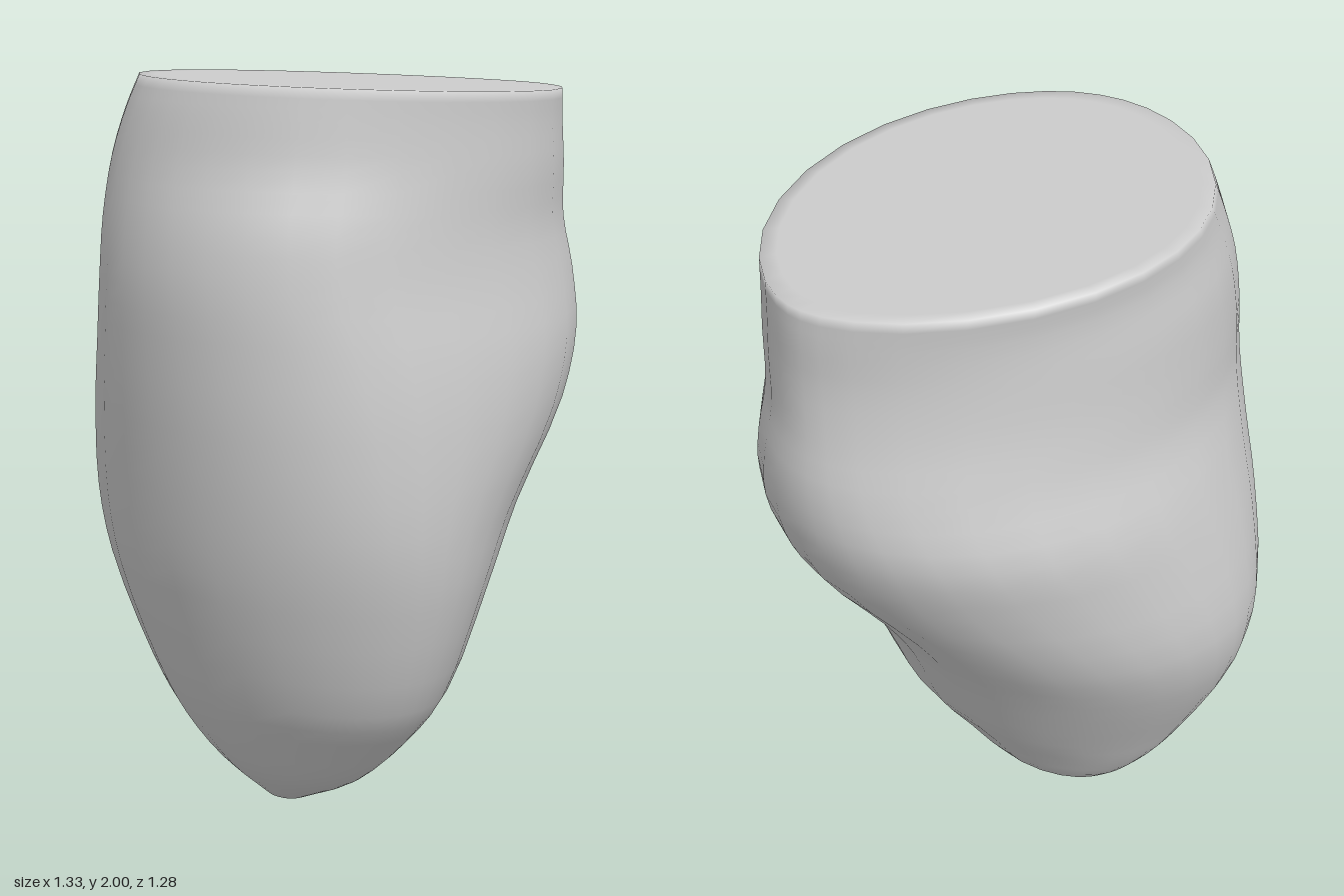
import * as THREE from 'three';

const SEG = 32;

// Each section: height, then its reach from the axis in eight directions,
// every 45 degrees from +x towards +z.
const SECTIONS = [
  [0.015, [-0.07, 0.025, 0.14, 0.205, 0.2, 0.115, 0, -0.075]],
  [0.12, [0.08, 0.22, 0.29, 0.31, 0.34, 0.3, 0.16, 0.03]],
  [0.25, [0.2, 0.355, 0.4, 0.39, 0.45, 0.415, 0.25, 0.11]],
  [0.4, [0.3, 0.47, 0.51, 0.46, 0.53, 0.505, 0.325, 0.21]],
  [0.7, [0.405, 0.57, 0.6, 0.56, 0.635, 0.645, 0.48, 0.36]],
  [0.9, [0.48, 0.6, 0.635, 0.6, 0.665, 0.68, 0.56, 0.49]],
  [1.15, [0.615, 0.61, 0.645, 0.635, 0.655, 0.64, 0.61, 0.66]],
  [1.33, [0.66, 0.595, 0.64, 0.655, 0.637, 0.59, 0.64, 0.725]],
  [1.5, [0.65, 0.56, 0.635, 0.665, 0.62, 0.54, 0.6, 0.735]],
  [1.65, [0.62, 0.54, 0.62, 0.655, 0.605, 0.53, 0.56, 0.715]],
  [1.8, [0.615, 0.535, 0.585, 0.63, 0.575, 0.52, 0.54, 0.7]],
  [1.92, [0.61, 0.525, 0.575, 0.605, 0.535, 0.5, 0.535, 0.7]],
  [2.0, [0.61, 0.52, 0.57, 0.58, 0.5, 0.5, 0.54, 0.695]],
];

// Smooth closed outline whose reach in the eight directions matches the list
function outline(y, reach) {
  const waves = [1, 1, 1, 0.6, 0.5].map((weight, k) => {
    let a = 0, b = 0;
    reach.forEach((r, i) => {
      a += r * Math.cos(k * i * Math.PI / 4);
      b += r * Math.sin(k * i * Math.PI / 4);
    });
    const s = weight * (k === 0 || k === 4 ? 1 / 8 : 1 / 4);
    return [a * s, b * s];
  });
  return Array.from({ length: SEG }, (_, j) => {
    const t = j / SEG * Math.PI * 2, c = Math.cos(t), s = Math.sin(t);
    let h = 0, d = 0;
    waves.forEach(([a, b], k) => {
      h += a * Math.cos(k * t) + b * Math.sin(k * t);
      d += k * (b * Math.cos(k * t) - a * Math.sin(k * t));
    });
    const x = h * c - d * s, z = h * s + d * c;
    // the top slopes down gently towards +x
    const slope = 0.041 * THREE.MathUtils.smoothstep(y, 1.2, 2);
    return new THREE.Vector3(x, y - slope * (x + 0.5), z);
  });
}

function stumpGeometry() {
  // smooth vertical curves through matching points of all sections
  const loops = SECTIONS.map(([y, reach]) => outline(y, reach));
  const columns = Array.from({ length: SEG }, (_, j) =>
    new THREE.CatmullRomCurve3(loops.map((l) => l[j])).getPoints((SECTIONS.length - 1) * 3));
  const rows = columns[0].map((_, i) => columns.map((c) => c[i]));

  // flat cut top: inset rings up to the centre
  const rim = rows[rows.length - 1];
  const middle = rim.reduce((m, p) => m.add(p), new THREE.Vector3()).divideScalar(SEG);
  for (const f of [0.07, 0.4]) rows.push(rim.map((p) => p.clone().lerp(middle, f)));

  const tip = rows[0].reduce((m, p) => m.add(p), new THREE.Vector3()).divideScalar(SEG).setY(0);
  const points = [...rows.flat(), tip, middle];
  const tipId = points.length - 2, midId = points.length - 1;
  const last = (rows.length - 1) * SEG;
  const index = [];
  for (let j = 0; j < SEG; j++) {
    const k = (j + 1) % SEG;
    for (let i = 0; i < last; i += SEG) {
      const a = i + j, b = i + k, c = a + SEG, d = b + SEG;
      index.push(a, c, b, b, c, d);
    }
    index.push(tipId, j, k, midId, last + k, last + j);
  }
  const geometry = new THREE.BufferGeometry().setFromPoints(points);
  geometry.setIndex(index);
  geometry.computeVertexNormals();
  return geometry;
}

export function createModel() {
  const group = new THREE.Group();
  const body = new THREE.Mesh(stumpGeometry(), new THREE.MeshStandardMaterial({ color: 0xcccccc }));
  body.name = 'taperedBody';
  group.add(body);
  return group;
}
